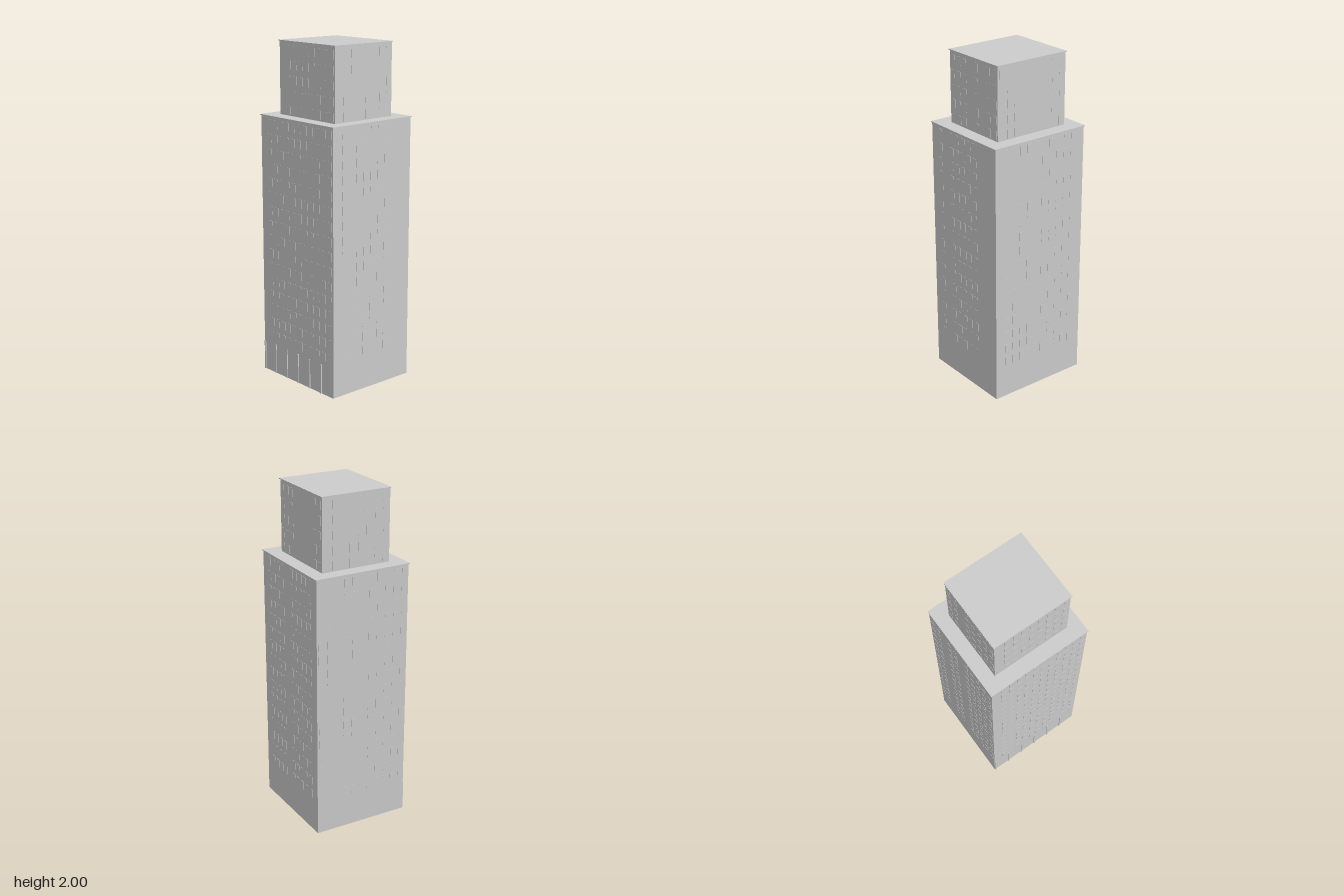
import * as THREE from 'three';
import { mergeGeometries } from 'three/addons/utils/BufferGeometryUtils.js';

const concrete = new THREE.MeshStandardMaterial({ color: 0xcccccc, side: THREE.DoubleSide });
concrete.name = 'concrete';

// Calls make(width, halfDepth) for each of four faces and turns the results into place
function onFourSides(width, depth, make) {
  return mergeGeometries([0, 1, 2, 3].map((i) => {
    const [w, d] = i % 2 ? [depth, width] : [width, depth];
    return make(w, d / 2, i).rotateY(i * Math.PI / 2);
  }));
}

// Small seeded generator for the scattered windows
function seeded(seed) {
  let s = seed;
  return () => (s = (s * 16807) % 2147483647) / 2147483647;
}

function addTier(group, name, { width, depth, bottom, top, firstRow, rows, overhang }) {
  const add = (part, geometry) => {
    const mesh = new THREE.Mesh(geometry, concrete);
    mesh.name = name + part;
    group.add(mesh);
    return mesh;
  };
  const slab = 0.005;

  // Hollow walls, open below
  add('Walls', onFourSides(width, depth, (w, d) =>
    new THREE.PlaneGeometry(w, top - bottom).translate(0, (top + bottom) / 2, d)));

  // Thin roof slab that overhangs the walls
  add('Roof', new THREE.BoxGeometry(width + 2 * overhang, slab, depth + 2 * overhang))
    .position.y = top - slab / 2;

  // Rows of thin window panels
  const random = seeded(41);
  add('Windows', onFourSides(width, depth, (w, d) => {
    const columns = Math.floor(w / 0.052);
    const step = w / columns;
    const panes = [];
    for (let c = 0; c < columns; c++) {
      if (random() < 0.2) continue;
      for (let r = 0; r < rows; r++) {
        panes.push(new THREE.BoxGeometry(0.03, 0.05, 0.002)
          .translate((c + 0.5) * step - w / 2, firstRow + r * 0.086, d + 0.0005));
      }
    }
    return mergeGeometries(panes);
  }));
}

export function createModel() {
  const model = new THREE.Group();
  model.name = 'tower';

  addTier(model, 'lower', {
    width: 0.632, depth: 0.59, bottom: 0, top: 1.572, firstRow: 0.235, rows: 16, overhang: 0.005,
  });
  addTier(model, 'upper', {
    width: 0.476, depth: 0.43, bottom: 1.57, top: 2, firstRow: 1.605, rows: 5, overhang: 0.005,
  });

  // Slim posts along the front entrance
  for (let i = 0; i < 6; i++) {
    const post = new THREE.Mesh(new THREE.BoxGeometry(0.009, 0.18, 0.008), concrete);
    post.name = 'entrancePost';
    post.position.set(-0.309 + i * 0.104, 0.09, 0.296);
    model.add(post);
  }
  return model;
}
